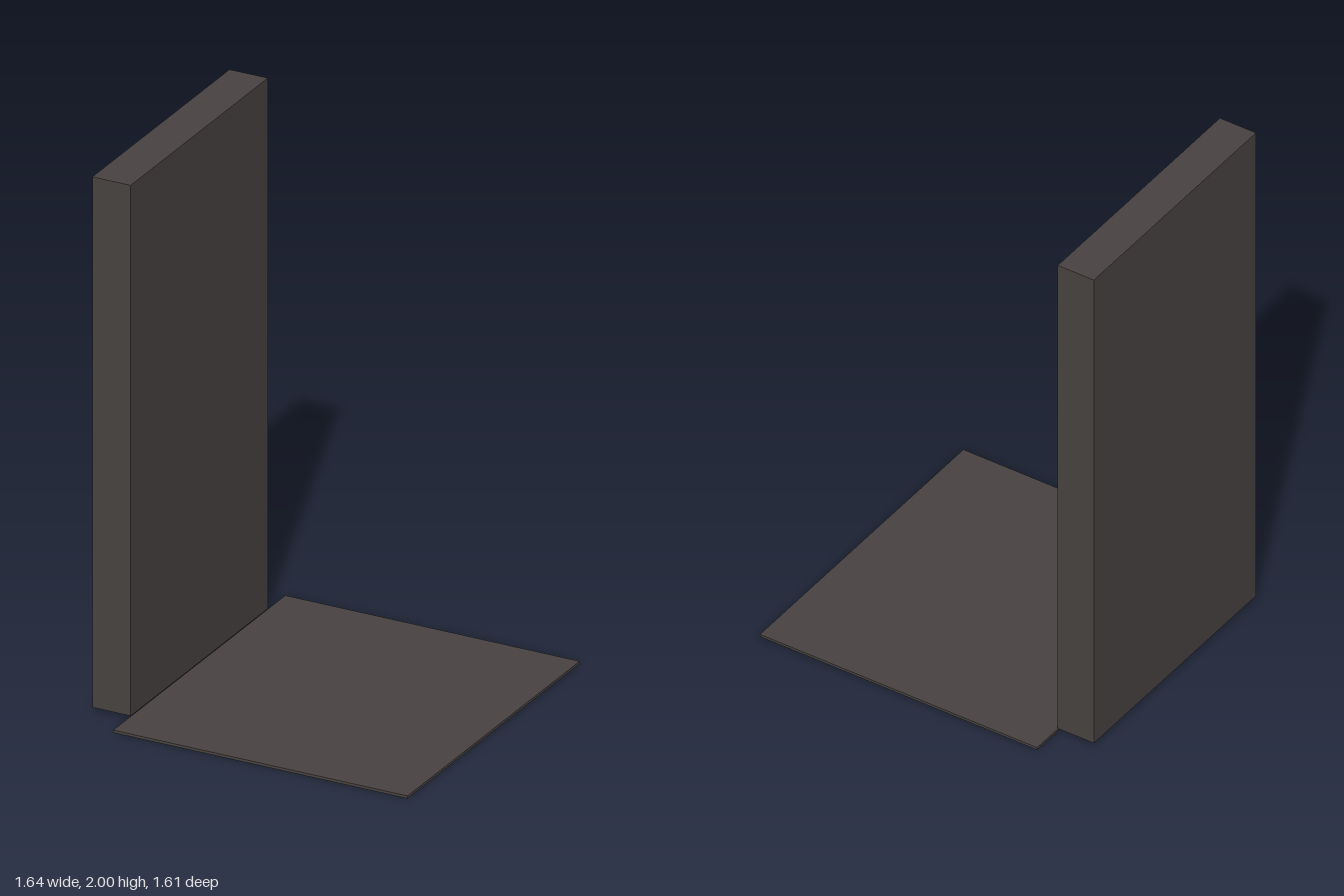
import * as THREE from 'three';

export function createModel() {
  const model = new THREE.Group();
  model.name = 'slabAndBase';

  const charcoal = new THREE.MeshStandardMaterial({ color: 0x484341 });
  charcoal.name = 'charcoal';

  const baseWidth = 1.136, baseDepth = 1.243, baseHeight = 0.01;
  const slabThickness = 0.148, slabDepth = 0.991, slabBottom = 0.012;

  // Both parts share one turned frame
  const turned = new THREE.Group();
  turned.name = 'turnedParts';
  turned.position.set(0.041, 0, 0);
  turned.rotation.y = THREE.MathUtils.degToRad(-25);
  model.add(turned);

  function addBox(name, width, depth, bottom, top, x) {
    const mesh = new THREE.Mesh(new THREE.BoxGeometry(width, top - bottom, depth), charcoal);
    mesh.name = name;
    mesh.position.set(x, (bottom + top) / 2, 0);
    turned.add(mesh);
  }

  // Thin plate on the ground
  addBox('basePlate', baseWidth, baseDepth, 0, baseHeight, 0);
  // Tall slab standing flush against the plate's edge
  addBox('uprightSlab', slabThickness, slabDepth, slabBottom, 2, -(baseWidth + slabThickness) / 2);

  return model;
}
